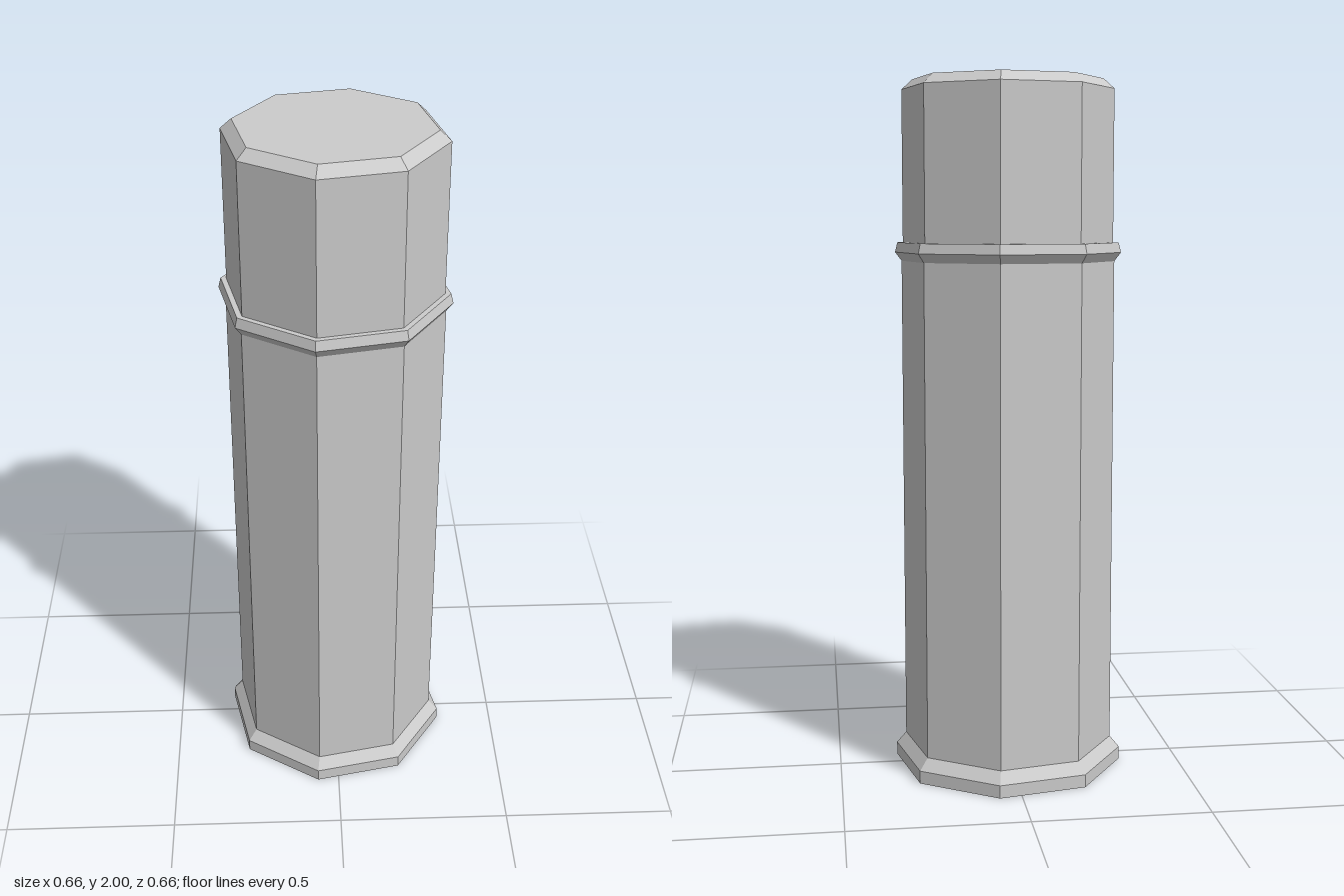
import * as THREE from 'three';

const SIDES = 8;
const TURN = THREE.MathUtils.degToRad(34.1); // twist of the octagon about y

export function createModel() {
  const group = new THREE.Group();
  const material = new THREE.MeshStandardMaterial({ color: 0xcccccc, flatShading: true });

  // Octagonal band from a bottom-to-top profile of [radius, height]
  function addBand(name, profile) {
    const points = profile.map(([r, y]) => new THREE.Vector2(r, y));
    const mesh = new THREE.Mesh(new THREE.LatheGeometry(points, SIDES, TURN), material);
    mesh.name = name;
    group.add(mesh);
  }

  // Foot with closed underside and chamfered shoulder
  addBand('baseRim', [[0, 0], [0.335, 0], [0.335, 0.037], [0.307, 0.07]]);
  // Long lower shaft
  addBand('body', [[0.307, 0.07], [0.307, 1.487]]);
  // Raised ring with a flat ledge on top
  addBand('collar', [[0.307, 1.487], [0.326, 1.512], [0.319, 1.54], [0.303, 1.54]]);
  // Upper section with bevelled, closed top
  addBand('cap', [[0.303, 1.54], [0.303, 1.972], [0.272, 2], [0, 2]]);

  return group;
}
